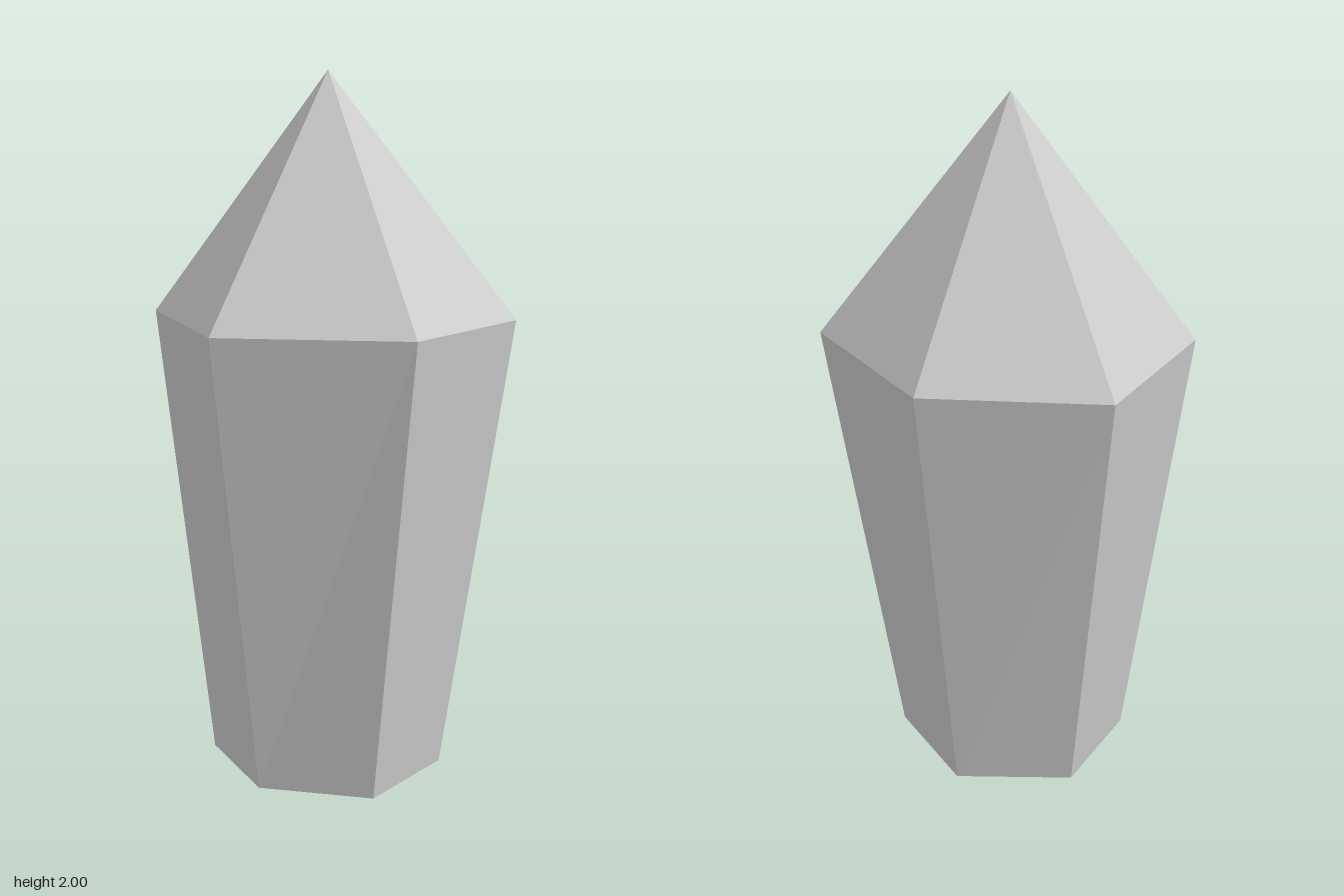
import * as THREE from 'three';

// Builds faces between successive rings of [x, z] corners, counterclockwise from above
function facetedSides(lower, upper, y0, y1) {
  const positions = [];
  const n = lower.length;
  for (let i = 0; i < n; i++) {
    const j = (i + 1) % n;
    const a = [lower[i][0], y0, lower[i][1]];
    const b = [lower[j][0], y0, lower[j][1]];
    const c = [upper[j % upper.length][0], y1, upper[j % upper.length][1]];
    const d = [upper[i % upper.length][0], y1, upper[i % upper.length][1]];
    positions.push(...a, ...b, ...c);
    if (upper.length > 1) positions.push(...a, ...c, ...d);
  }
  const geometry = new THREE.BufferGeometry();
  geometry.setAttribute('position', new THREE.Float32BufferAttribute(positions, 3));
  geometry.computeVertexNormals();
  return geometry;
}

export function createModel() {
  const group = new THREE.Group();
  group.name = 'crystal';
  const material = new THREE.MeshStandardMaterial({ color: 0xcccccc, flatShading: true });

  // Slightly irregular hexagonal outlines
  const base = [[0.322, 0], [0.157, -0.298], [-0.17, -0.298], [-0.315, 0], [-0.17, 0.298], [0.157, 0.298]];
  const shoulder = [[0.494, 0], [0.272, -0.462], [-0.215, -0.462], [-0.497, 0], [-0.215, 0.462], [0.263, 0.462]];
  const apex = [[0.005, 0]];

  const add = (name, geometry) => {
    const mesh = new THREE.Mesh(geometry, material);
    mesh.name = name;
    group.add(mesh);
    return mesh;
  };

  // Tapered shaft and pointed tip
  add('shaft', facetedSides(base, shoulder, 0, 1.32));
  add('tip', facetedSides(shoulder, apex, 1.32, 2));

  // Flat underside, facing down
  const outline = new THREE.Shape(base.map(([x, z]) => new THREE.Vector2(x, z)));
  add('underside', new THREE.ShapeGeometry(outline)).rotation.x = Math.PI / 2;

  return group;
}
